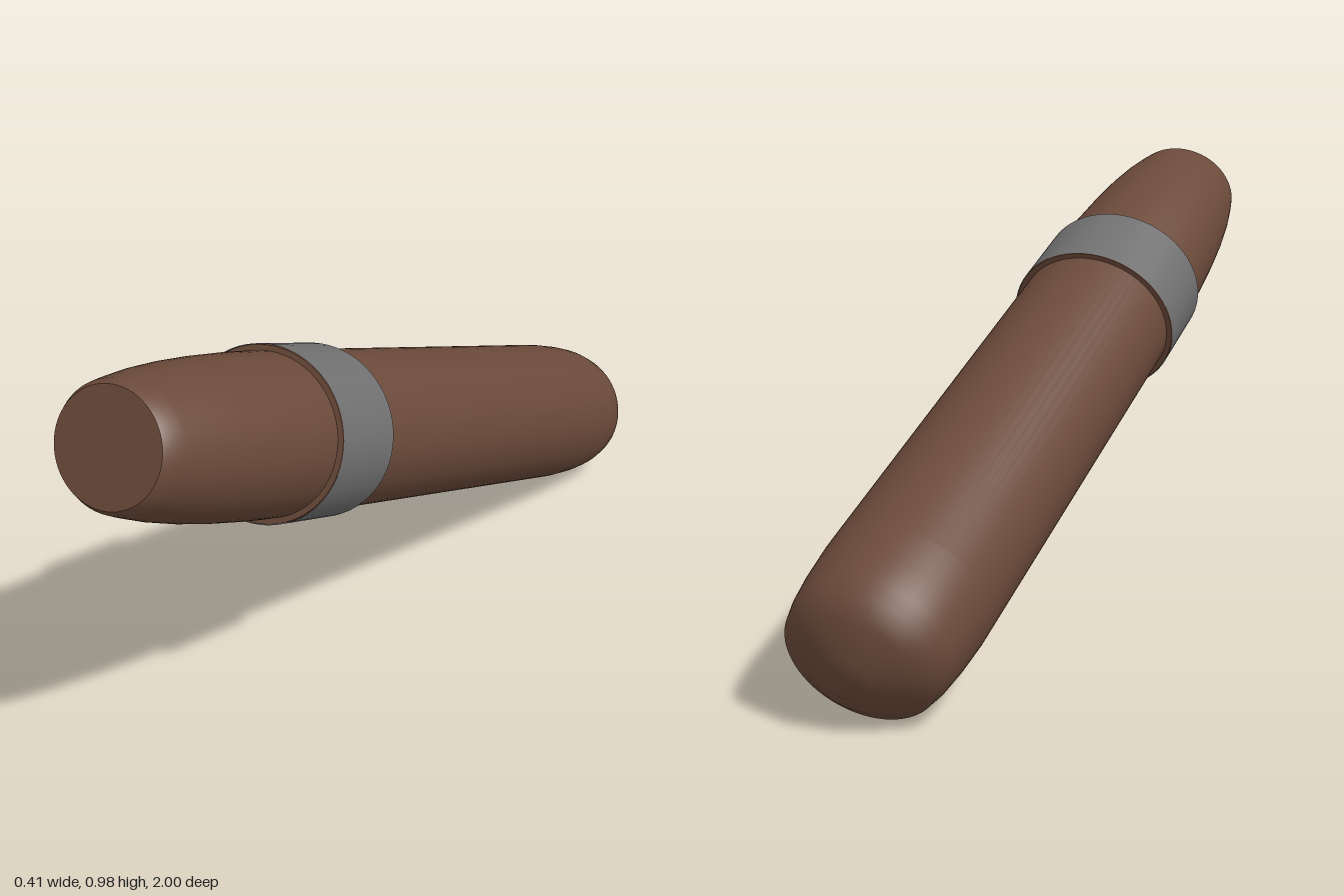
import * as THREE from 'three';
import { toCreasedNormals } from 'three/addons/utils/BufferGeometryUtils.js';

// Revolve a [radius, height] profile, keeping hard edges sharp
function revolve(name, profile, material, crease) {
  const points = profile.map(([r, y]) => new THREE.Vector2(r, y));
  const geometry = toCreasedNormals(new THREE.LatheGeometry(points, 64), crease);
  const mesh = new THREE.Mesh(geometry, material);
  mesh.name = name;
  return mesh;
}

export function createModel() {
  const brown = new THREE.MeshStandardMaterial({ color: 0x6b4a3a });
  const grey = new THREE.MeshStandardMaterial({ color: 0x707070, side: THREE.DoubleSide });

  const model = new THREE.Group();
  model.name = 'cigar';

  // Rolled body: conical rounded rear tip, straight barrel, tapered flat front
  const body = revolve('body', [
    [0, -1.05], [0.055, -1.05], [0.125, -1.012], [0.168, -0.982], [0.178, -0.94],
    [0.185, -0.88], [0.19, -0.79], [0.19, 0.5], [0.187, 0.62], [0.181, 0.73],
    [0.172, 0.83], [0.161, 0.91], [0.148, 0.975], [0.14, 1.008], [0.129, 1.025], [0, 1.025],
  ], brown, 0.75);

  // Raised collar whose brown end faces show beside the band
  const collar = revolve('collar', [
    [0.18, 0.308], [0.203, 0.308], [0.203, 0.51], [0.18, 0.51],
  ], brown, 0.5);

  // Grey paper band wrapped on the collar
  const band = revolve('band', [[0.205, 0.308], [0.205, 0.51]], grey, 0.5);

  // Slightly flattened section, tilted with the front end up
  const roll = new THREE.Group();
  roll.name = 'roll';
  roll.add(body, collar, band);
  roll.scale.z = 0.93;
  roll.rotation.x = THREE.MathUtils.degToRad(69);
  roll.position.y = 0.5;
  model.add(roll);
  return model;
}
